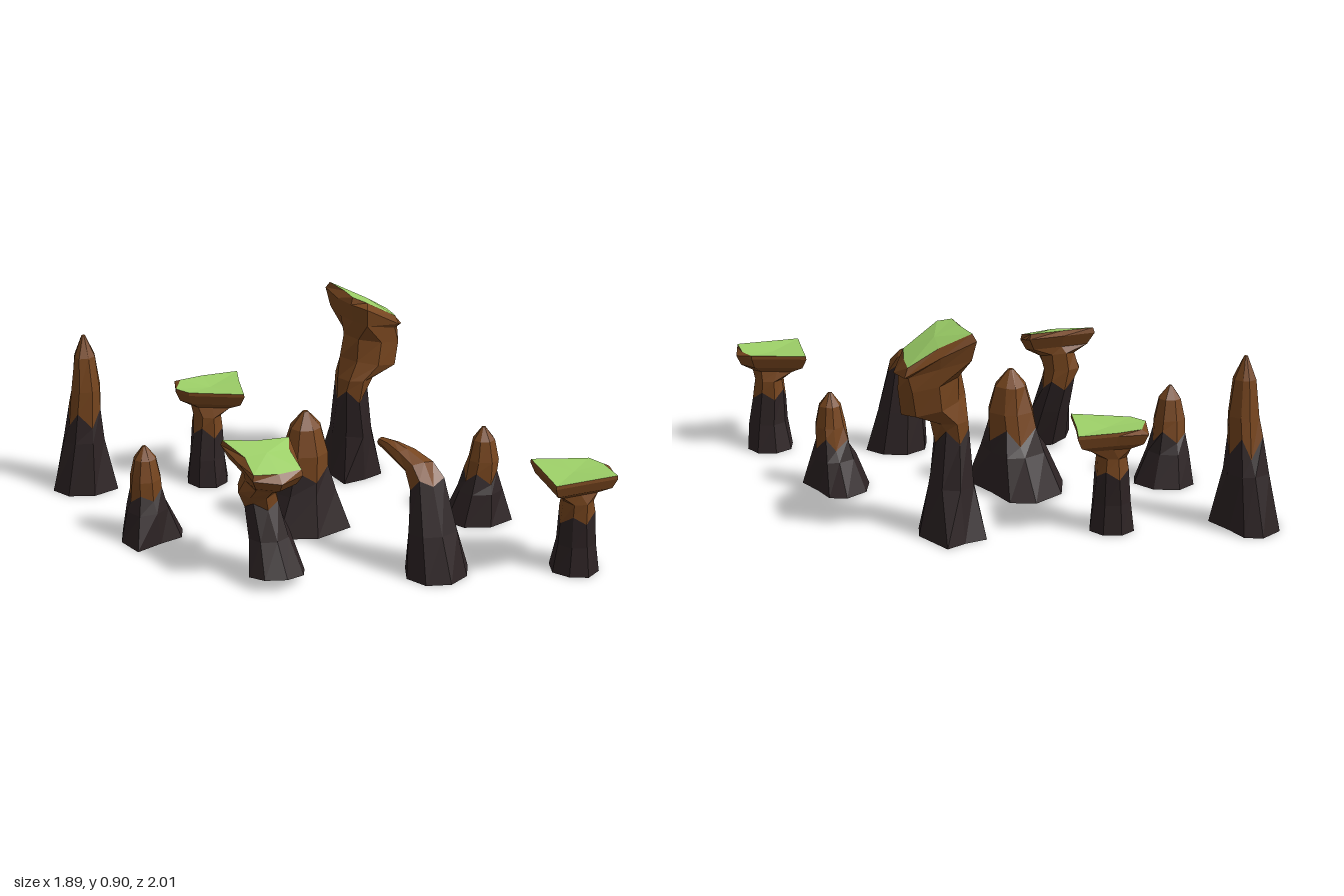
import * as THREE from 'three';

const N = 8;
const mat = (name, color, side = THREE.FrontSide) => {
  const m = new THREE.MeshStandardMaterial({ color, flatShading: true, side });
  m.name = name;
  return m;
};

// Small repeatable jitter, -1..1
let seed = 7;
const rnd = () => {
  seed = (seed * 16807) % 2147483647;
  return (seed / 2147483647) * 2 - 1;
};

// Elliptical ring: tx, tz tilt it; zig alternates heights
function ring(x, y, z, rx, rz, tx = 0, tz = 0, zig = 0) {
  return Array.from({ length: N }, (_, i) => {
    const a = (i / N) * Math.PI * 2, k = 1 + 0.07 * rnd();
    const u = Math.cos(a) * k, v = Math.sin(a) * k;
    const step = zig * (i % 2 ? 1 : -1) * (0.8 + 0.4 * rnd());
    return new THREE.Vector3(x + rx * u, y + tx * u + tz * v + step, z + rz * v);
  });
}

// Ring from an outline of [x, z] corners, scaled about its own centre
function outline(points, y, scale = 1, yAt = () => 0, jag = 0) {
  const cx = points.reduce((t, p) => t + p[0], 0) / N;
  const cz = points.reduce((t, p) => t + p[1], 0) / N;
  return points.map(([px, pz], i) => {
    const k = scale * (1 + (i % 2 ? jag : -jag));
    const x = cx + (px - cx) * k, z = cz + (pz - cz) * k;
    return new THREE.Vector3(x, y + yAt(x, z), z);
  });
}

// Skin rings from bottom to top, optionally closed by a crowned top
function loft(rings, top, crown = 0) {
  const pos = [];
  const tri = (...pts) => pts.forEach((p) => pos.push(p.x, p.y, p.z));
  for (let k = 0; k + 1 < rings.length; k++) {
    for (let i = 0; i < N; i++) {
      const j = (i + 1) % N, l = rings[k], u = rings[k + 1];
      tri(l[i], u[i], l[j]);
      tri(l[j], u[i], u[j]);
    }
  }
  if (top) {
    const last = rings[rings.length - 1];
    const c = last.reduce((s, p) => s.add(p), new THREE.Vector3()).divideScalar(N);
    c.y += crown;
    for (let i = 0; i < N; i++) tri(c, last[(i + 1) % N], last[i]);
  }
  const g = new THREE.BufferGeometry();
  g.setAttribute('position', new THREE.Float32BufferAttribute(pos, 3));
  g.computeVertexNormals();
  return g;
}

export function createModel() {
  seed = 7;
  const model = new THREE.Group();
  const dark = mat('darkStone', 0x2d2324, THREE.DoubleSide);
  const brown = mat('brownRock', 0x76451e, THREE.DoubleSide);
  const green = mat('grassGreen', 0x9dd068);

  // Hollow dark foot up to ring "split", brown rock above, optional grass on the last ring
  function pillar(name, rings, split, grass = false, crown = 0) {
    const g = new THREE.Group();
    g.name = name;
    const add = (part, geo, m) => {
      const mesh = new THREE.Mesh(geo, m);
      mesh.name = part;
      g.add(mesh);
    };
    add('foot', loft(rings.slice(0, split + 1), false), dark);
    add('rock', loft(rings.slice(split), !grass), brown);
    if (grass) add('grassTop', loft(rings.slice(-1), true, crown), green);
    model.add(g);
  }

  // Pointed spires: rounded footprint with one sharp corner
  const foot = [[0.75, -0.05], [1, 0.85], [0.1, 1.05], [-0.7, 0.7],
    [-1, 0.05], [-0.65, -0.7], [0.1, -1.05], [0.62, -0.8]];
  const turned = foot.map(([x, z]) => [-z, x]);
  function spire(name, x, z, r, h, tipX, tipZ, shape = foot) {
    const levels = [[0, 1], [0.33, 0.7], [0.48, 0.55], [0.66, 0.5], [0.87, 0.36], [1, 0.06]];
    const rings = levels.map(([t, s], k) => {
      const m = Math.min(1, t * 1.7);
      return shape.map(([u, v], i) => {
        const round = k ? 1 / Math.hypot(u, v) : 1; // corner fades above the ground
        const w = s * r * (1 + (round - 1) * Math.min(1, t * 2)) * (k ? 1 + 0.07 * rnd() : 1);
        const zig = k === 2 ? (i % 2 ? 0.07 : -0.07) * h * (0.8 + 0.4 * rnd()) : 0;
        return new THREE.Vector3(x + (tipX - x) * m + u * w, t * h + zig, z + (tipZ - z) * m + v * w);
      });
    });
    pillar(name, rings, 2);
  }
  spire('centralSpire', -0.09, -0.08, 0.2, 0.545, -0.05, -0.04);
  spire('tallSpire', -0.81, -0.865, 0.138, 0.75, -0.78, -0.83);
  spire('leftBackSpire', -0.715, -0.235, 0.138, 0.44, -0.74, -0.22, turned);
  spire('rightSpire', 0.66, 0.22, 0.138, 0.44, 0.69, 0.245);

  // Flat-topped mushroom rocks; the grass draws back from the "bare" corners
  function mushroom(name, cap, bare, x, z, r, neckX, neckZ) {
    const lawn = cap.map(([px, pz], i) => {
      const k = bare.includes(i) ? 0.2 : 0.01;
      return [px + (x - px) * k, pz + (z - pz) * k];
    });
    pillar(name, [
      ring(x, 0, z, r, r),
      ring(x, 0.13, z, r * 0.84, r * 0.86),
      ring(neckX, 0.26, neckZ, r * 0.7, r * 0.78, 0, 0, 0.025),
      ring(neckX, 0.335, neckZ, r * 0.64, r * 0.76),
      outline(cap, 0.38, 0.56),
      outline(cap, 0.41, 0.88),
      outline(cap, 0.455),
      outline(lawn, 0.47),
    ], 2, true, -0.012);
  }
  mushroom('frontMushroom', [[0.94, 0.87], [0.9, 1.0], [0.76, 0.99], [0.61, 0.98],
    [0.635, 0.84], [0.66, 0.69], [0.77, 0.74], [0.89, 0.79]], [0], 0.8, 0.86, 0.108, 0.79, 0.865);
  mushroom('backMushroom', [[-0.09, -0.66], [-0.14, -0.49], [-0.26, -0.56], [-0.36, -0.62],
    [-0.395, -0.69], [-0.35, -0.815], [-0.22, -0.79], [-0.05, -0.77]], [5], -0.26, -0.66, 0.1, -0.25, -0.67);

  // Tall pillar with a heavy sloping head
  const tallFoot = [[0.53, -0.45], [0.5, -0.36], [0.4, -0.335], [0.29, -0.33],
    [0.28, -0.45], [0.28, -0.59], [0.38, -0.6], [0.47, -0.63]];
  const head = [[0.62, -0.41], [0.56, -0.32], [0.37, -0.265], [0.33, -0.35],
    [0.315, -0.46], [0.33, -0.61], [0.47, -0.57], [0.61, -0.52]];
  const fall = (x) => -0.6 * Math.max(0, x - 0.36);
  pillar('tallPillar', [
    outline(tallFoot, 0),
    ring(0.385, 0.22, -0.445, 0.098, 0.112),
    ring(0.37, 0.43, -0.43, 0.073, 0.09, 0, 0, 0.04),
    ring(0.385, 0.5, -0.425, 0.08, 0.095),
    ring(0.455, 0.57, -0.425, 0.135, 0.105, -0.03),
    ring(0.47, 0.68, -0.43, 0.145, 0.118, -0.03),
    outline(head, 0.79, 0.88, (x) => fall(x) * 0.5),
    outline(head, 0.875, 1, fall),
    outline(head, 0.905, 0.82, fall, 0.09),
  ], 2, true, 0.015);

  // Leaning pillar with a tilted grassy cap
  const tilted = [[-0.28, 0.34], [-0.31, 0.48], [-0.42, 0.51], [-0.53, 0.46],
    [-0.54, 0.34], [-0.565, 0.21], [-0.42, 0.23], [-0.27, 0.27]];
  const slope = (x, z) => (0.35 - z) * 0.3;
  pillar('leaningPillar', [
    ring(-0.405, 0.04, 0.42, 0.125, 0.1, -0.01, 0.015),
    ring(-0.415, 0.2, 0.36, 0.098, 0.09),
    ring(-0.43, 0.34, 0.31, 0.078, 0.075, 0, 0, 0.025),
    ring(-0.445, 0.4, 0.315, 0.085, 0.085, 0, -0.01),
    ring(-0.435, 0.46, 0.335, 0.08, 0.1, 0, -0.03),
    outline(tilted, 0.49, 0.82, slope),
    outline(tilted, 0.54, 1, slope),
    outline(tilted, 0.565, 0.87, slope, 0.1),
  ], 2, true, 0.012);

  // Hooked pillar bending backwards to a horn
  pillar('hookedPillar', [
    ring(0.245, 0, 0.638, 0.145, 0.133),
    ring(0.23, 0.2, 0.615, 0.112, 0.094),
    ring(0.22, 0.41, 0.583, 0.085, 0.058, 0, 0.01, 0.03),
    ring(0.205, 0.465, 0.54, 0.07, 0.042, 0, 0.035),
    ring(0.17, 0.495, 0.48, 0.052, 0.015, 0, 0.04),
    ring(0.14, 0.52, 0.42, 0.036, 0.01, 0, 0.032),
    ring(0.115, 0.53, 0.365, 0.02, 0.005, 0, 0.02),
  ], 2);

  return model;
}
